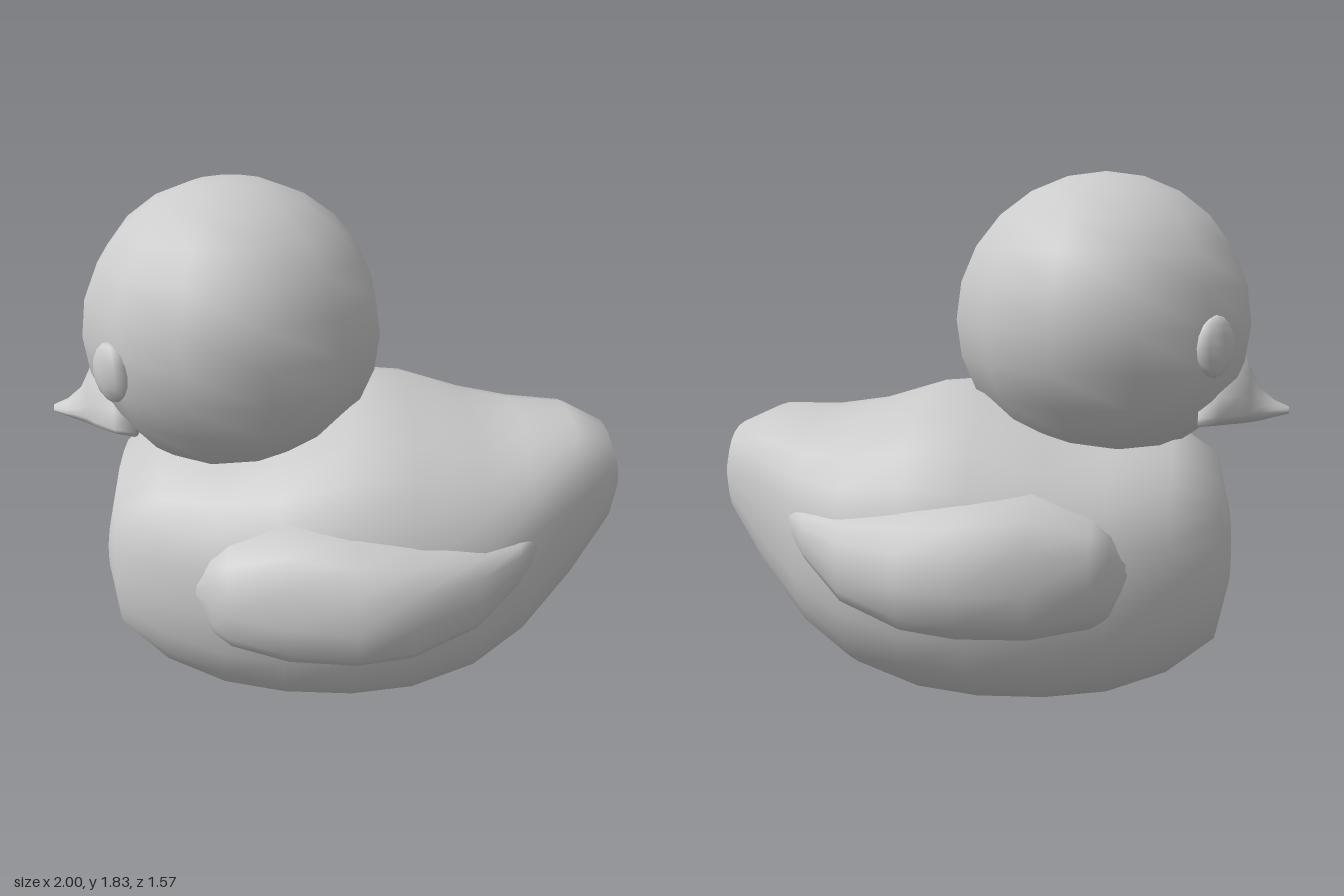
import * as THREE from 'three';

const material = new THREE.MeshStandardMaterial({ color: 0xcccccc });

// Smooth closed skin through cross-sections [x, top, bottom, halfWidth, widestY].
// powTop and powBottom set how square each half of the section is.
function loft(sections, segments, powTop, powBottom) {
  const positions = [], index = [];
  for (const [x, top, bottom, half, mid] of sections) {
    for (let j = 0; j < segments; j++) {
      const t = (j / segments) * Math.PI * 2;
      const c = Math.cos(t), s = Math.sin(t);
      const p = 2 / (s >= 0 ? powTop : powBottom);
      const rise = s >= 0 ? top - mid : mid - bottom;
      positions.push(
        x,
        mid + Math.sign(s) * Math.pow(Math.abs(s), p) * rise,
        Math.sign(c) * Math.pow(Math.abs(c), p) * half
      );
    }
  }
  const last = sections.length - 1;
  const startCap = positions.length / 3, endCap = startCap + 1;
  for (const i of [0, last]) positions.push(sections[i][0], sections[i][4], 0);
  for (let j = 0; j < segments; j++) {
    const k = (j + 1) % segments;
    for (let i = 0; i < last; i++) {
      const a = i * segments + j, b = a + segments;
      const c = i * segments + k, d = c + segments;
      index.push(a, b, d, a, d, c);
    }
    index.push(startCap, j, k, endCap, last * segments + k, last * segments + j);
  }
  const geometry = new THREE.BufferGeometry();
  geometry.setAttribute('position', new THREE.Float32BufferAttribute(positions, 3));
  geometry.setIndex(index);
  geometry.computeVertexNormals();
  return geometry;
}

export function createModel() {
  const model = new THREE.Group();
  model.name = 'duck';
  const add = (name, geometry) => {
    const mesh = new THREE.Mesh(geometry, material);
    mesh.name = name;
    model.add(mesh);
    return mesh;
  };

  // Body: full round chest, flat back, blunt raised tail
  add('body', loft([
    [-0.815, 0.65, 0.42, 0.22, 0.54],
    [-0.77, 0.85, 0.22, 0.37, 0.53],
    [-0.61, 0.95, 0.1, 0.49, 0.52],
    [-0.41, 0.97, 0.03, 0.58, 0.51],
    [-0.2, 1.01, 0.005, 0.63, 0.5],
    [0.03, 1.1, 0, 0.65, 0.5],
    [0.24, 1.08, 0.02, 0.64, 0.52],
    [0.46, 1.01, 0.085, 0.58, 0.56],
    [0.64, 0.985, 0.19, 0.47, 0.62],
    [0.82, 0.99, 0.38, 0.32, 0.7],
    [0.96, 0.925, 0.58, 0.19, 0.75],
    [1.0, 0.82, 0.68, 0.1, 0.75],
  ], 24, 2.4, 2.3));

  // Head: sphere with a flat facet facing forward
  const head = add('head', new THREE.SphereGeometry(0.512, 12, 12));
  head.scale.y = 0.97;
  head.rotation.y = Math.PI / 12;
  head.position.set(-0.36, 1.33, 0);

  // Beak: wide mouth corners, narrowing in a concave sweep to a small tip
  add('beak', loft([
    [-1.0, 1.035, 1.01, 0.018, 1.02],
    [-0.95, 1.057, 0.998, 0.05, 1.02],
    [-0.9, 1.1, 0.985, 0.085, 1.025],
    [-0.865, 1.17, 0.98, 0.12, 1.03],
    [-0.83, 1.25, 0.977, 0.16, 1.03],
    [-0.76, 1.25, 0.975, 0.22, 1.03],
    [-0.69, 1.2, 0.97, 0.25, 1.03],
  ], 16, 1.5, 2));

  // Wing: thick teardrop sunk into the side of the body
  const wing = loft([
    [-0.5, 0.62, 0.54, 0.12, 0.58],
    [-0.43, 0.73, 0.4, 0.205, 0.57],
    [-0.37, 0.765, 0.375, 0.27, 0.57],
    [-0.18, 0.84, 0.34, 0.34, 0.56],
    [0.04, 0.815, 0.345, 0.385, 0.56],
    [0.22, 0.79, 0.36, 0.36, 0.57],
    [0.44, 0.755, 0.42, 0.24, 0.59],
    [0.58, 0.74, 0.55, 0.14, 0.65],
    [0.645, 0.73, 0.62, 0.06, 0.68],
  ], 16, 2.6, 2.6);

  for (const side of [1, -1]) {
    const label = side > 0 ? 'Left' : 'Right';
    add('wing' + label, wing).position.z = 0.4 * side;

    // Eye: flattened ellipsoid lying against the head
    const eye = add('eye' + label, new THREE.SphereGeometry(1, 8, 8));
    eye.scale.set(0.085, 0.1, 0.04);
    eye.position.set(-0.735, 1.28, 0.335 * side);
    eye.rotation.y = Math.atan2(-0.375, 0.335 * side);
  }
  return model;
}
